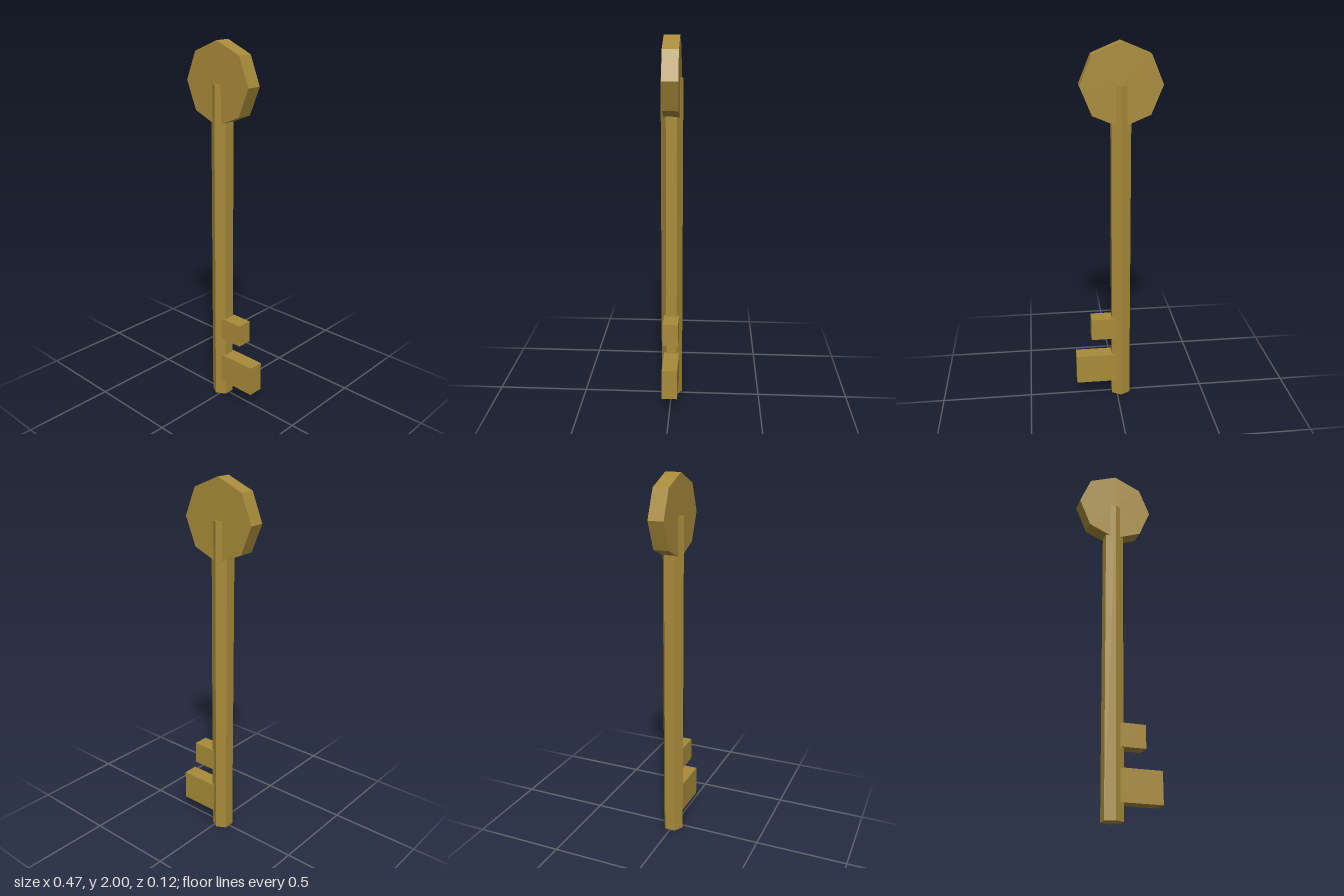
import * as THREE from 'three';

export function createModel() {
  const group = new THREE.Group();
  const brass = new THREE.MeshStandardMaterial({ color: 0xa88b3a });
  brass.name = 'agedBrass';
  brass.flatShading = true;

  const axisX = -0.022; // centre line of the shaft and the head
  const depth = 0.084; // thickness of the head and the teeth
  const headY = 1.79;

  const add = (name, geometry, x, y) => {
    const mesh = new THREE.Mesh(geometry, brass);
    mesh.name = name;
    mesh.position.set(x, y, -0.001);
    group.add(mesh);
  };

  // Hexagonal shaft with ridges to front and back, running up into the head
  add('shaft', new THREE.CylinderGeometry(0.0585, 0.0585, headY, 6), axisX, headY / 2);

  // Octagonal head plate standing on a corner
  const head = new THREE.CylinderGeometry(0.212, 0.212, depth, 8).rotateX(Math.PI / 2);
  add('head', head, axisX, headY);

  // Two teeth on the left side, the lower one longer
  const teeth = [
    { name: 'upperTooth', end: 0.145, bottom: 0.365, top: 0.49 },
    { name: 'lowerTooth', end: 0.232, bottom: 0.09, top: 0.26 },
  ];
  for (const { name, end, bottom, top } of teeth) {
    const box = new THREE.BoxGeometry(end - axisX, top - bottom, depth);
    add(name, box, (end + axisX) / 2, (top + bottom) / 2);
  }

  return group;
}
